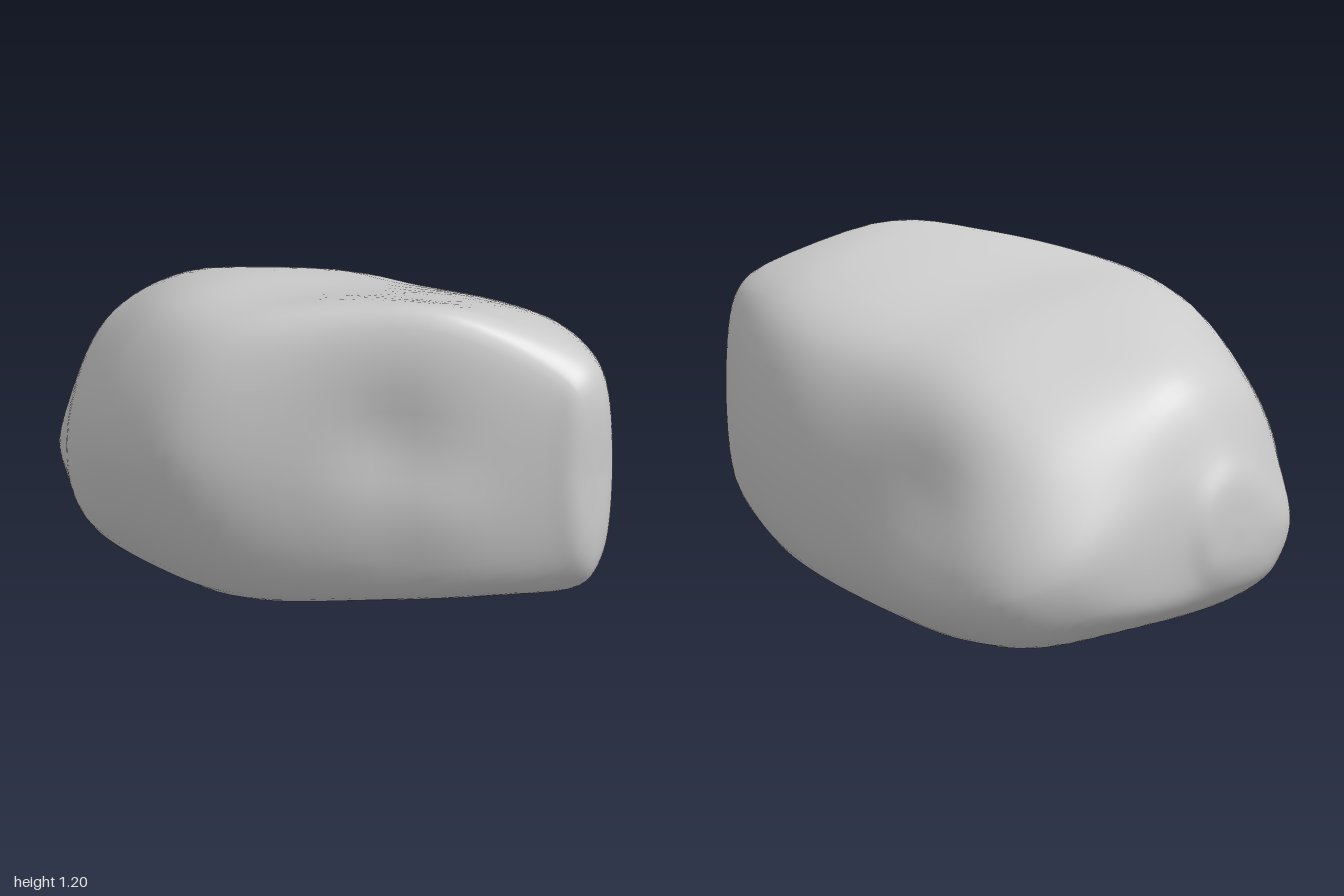
import * as THREE from 'three';
import { mergeVertices } from 'three/addons/utils/BufferGeometryUtils.js';

// Cross-sections along x. Each is a loop of [z, y] points:
// top front, front, bottom front, bottom, bottom back, back, top back, top
const sections = [
  { x: -0.95, loop: [[0.22, 0.59], [0.37, 0.38], [0.28, 0.22], [0.05, 0.18], [-0.05, 0.21], [-0.10, 0.35], [-0.05, 0.53], [0.08, 0.63]] },
  { x: -0.85, loop: [[0.27, 0.79], [0.43, 0.48], [0.37, 0.20], [-0.05, 0.09], [-0.38, 0.13], [-0.48, 0.28], [-0.32, 0.56], [-0.01, 0.84]] },
  { x: -0.68, loop: [[0.35, 0.88], [0.55, 0.55], [0.44, 0.16], [-0.10, 0.05], [-0.53, 0.04], [-0.65, 0.20], [-0.49, 0.64], [0.02, 0.96]] },
  { x: -0.35, loop: [[0.48, 1.00], [0.68, 0.60], [0.45, 0.12], [-0.10, 0.04], [-0.52, 0.01], [-0.70, 0.20], [-0.53, 0.83], [0.08, 1.06]] },
  { x: 0.00, loop: [[0.53, 1.06], [0.69, 0.63], [0.46, 0.14], [0.00, 0.06], [-0.48, 0.04], [-0.64, 0.33], [-0.54, 0.89], [0.06, 1.09]] },
  { x: 0.35, loop: [[0.33, 1.14], [0.43, 0.62], [0.29, 0.19], [-0.10, 0.12], [-0.50, 0.13], [-0.64, 0.50], [-0.55, 0.93], [-0.03, 1.14]] },
  { x: 0.65, loop: [[0.11, 1.17], [0.17, 0.62], [0.09, 0.25], [-0.18, 0.165], [-0.42, 0.20], [-0.55, 0.55], [-0.47, 0.97], [-0.10, 1.15]] },
  { x: 0.92, loop: [[-0.14, 1.00], [-0.09, 0.65], [-0.14, 0.33], [-0.24, 0.25], [-0.33, 0.33], [-0.38, 0.65], [-0.34, 0.96], [-0.25, 1.03]] },
];

// Soft hollows (and one swelling): centre, radius and push
const dents = [
  { at: [0.52, 0.76, 0.24], radius: 0.17, push: [-0.03, 0, -0.035] },
  { at: [0.66, 0.52, 0.13], radius: 0.15, push: [0.015, 0, 0.015] },
  { at: [-0.28, 0.48, -0.66], radius: 0.20, push: [0, 0, 0.06] },
];

const AROUND = 64;
const ALONG = 60;

// Shrinks a section towards its own middle to round off an end
function endLoop({ loop }, x, scaleZ, scaleY) {
  const mz = loop.reduce((s, p) => s + p[0], 0) / loop.length;
  const my = loop.reduce((s, p) => s + p[1], 0) / loop.length;
  return { x, loop: loop.map(([z, y]) => [mz + (z - mz) * scaleZ, my + (y - my) * scaleY]) };
}

function rockGeometry() {
  const first = sections[0];
  const last = sections[sections.length - 1];
  const all = [
    endLoop(first, -1, 0, 0), endLoop(first, -0.988, 0.6, 0.6),
    ...sections,
    endLoop(last, 0.985, 0.55, 0.78), endLoop(last, 1, 0, 0),
  ];

  // Smooth each section into a closed ring
  const rings = all.map(({ x, loop }) => {
    const pts = loop.map(([z, y]) => new THREE.Vector3(x, y, z));
    const isTip = pts[0].distanceTo(pts[1]) < 1e-6;
    const curve = new THREE.CatmullRomCurve3(pts, true);
    return Array.from({ length: AROUND }, (_, j) => (isTip ? pts[0].clone() : curve.getPoint(j / AROUND)));
  });

  // Run a smooth line through the rings from end to end
  const lines = Array.from({ length: AROUND }, (_, j) =>
    new THREE.CatmullRomCurve3(rings.map((r) => r[j])));

  const positions = [];
  const index = [];
  const v = new THREE.Vector3();
  for (let i = 0; i <= ALONG; i++) {
    for (let j = 0; j < AROUND; j++) {
      lines[j].getPoint(i / ALONG, v);
      for (const { at, radius, push } of dents) {
        const d = v.distanceTo(new THREE.Vector3(...at)) / radius;
        v.addScaledVector(new THREE.Vector3(...push), Math.exp(-d * d));
      }
      positions.push(v.x, v.y, v.z);
      if (i === ALONG) continue;
      const a = i * AROUND + j;
      const b = i * AROUND + ((j + 1) % AROUND);
      if (i > 0) index.push(a, b, a + AROUND);
      if (i < ALONG - 1) index.push(b, b + AROUND, a + AROUND);
    }
  }
  let geo = new THREE.BufferGeometry();
  geo.setAttribute('position', new THREE.Float32BufferAttribute(positions, 3));
  geo.setIndex(index);
  geo = mergeVertices(geo, 1e-5);

  // Stand it on the ground, centred
  geo.computeBoundingBox();
  const mid = geo.boundingBox.getCenter(new THREE.Vector3());
  geo.translate(-mid.x, -geo.boundingBox.min.y, -mid.z);
  geo.computeVertexNormals();
  return geo;
}

export function createModel() {
  const group = new THREE.Group();
  group.name = 'boulder';
  const rock = new THREE.Mesh(rockGeometry(), new THREE.MeshStandardMaterial({ color: 0xcccccc }));
  rock.name = 'rock';
  group.add(rock);
  return group;
}
